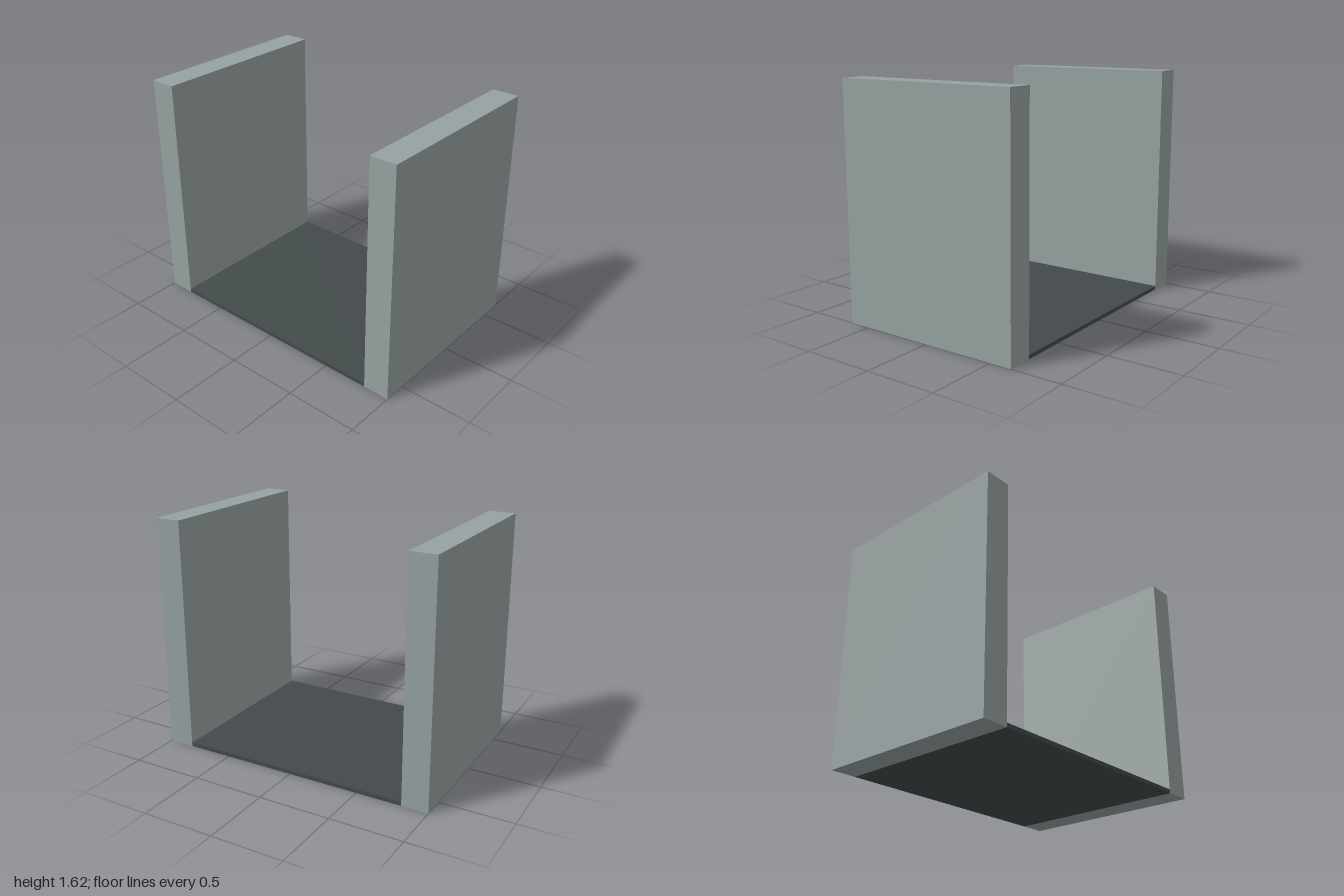
import * as THREE from 'three';

const WIDTH = 1.306, HEIGHT = 1.617, LENGTH = 2, WALL = 0.183, FLOOR = 0.027;

// Box standing on y = 0, centred on x, at depth position z
function slab(name, height, depth, z, material) {
  const mesh = new THREE.Mesh(new THREE.BoxGeometry(WIDTH, height, depth), material);
  mesh.name = name;
  mesh.position.set(0, height / 2, z);
  return mesh;
}

export function createModel() {
  const group = new THREE.Group();
  group.name = 'channel';
  const wallMaterial = new THREE.MeshStandardMaterial({ color: 0x96a2a1 });
  const floorMaterial = new THREE.MeshStandardMaterial({ color: 0x434a4b });

  // Two upright walls, front and back
  const wallZ = (LENGTH - WALL) / 2;
  group.add(slab('frontWall', HEIGHT, WALL, wallZ, wallMaterial));
  group.add(slab('backWall', HEIGHT, WALL, -wallZ, wallMaterial));

  // Thin dark floor spanning the gap
  group.add(slab('floor', FLOOR, LENGTH - 2 * WALL, 0, floorMaterial));
  return group;
}
